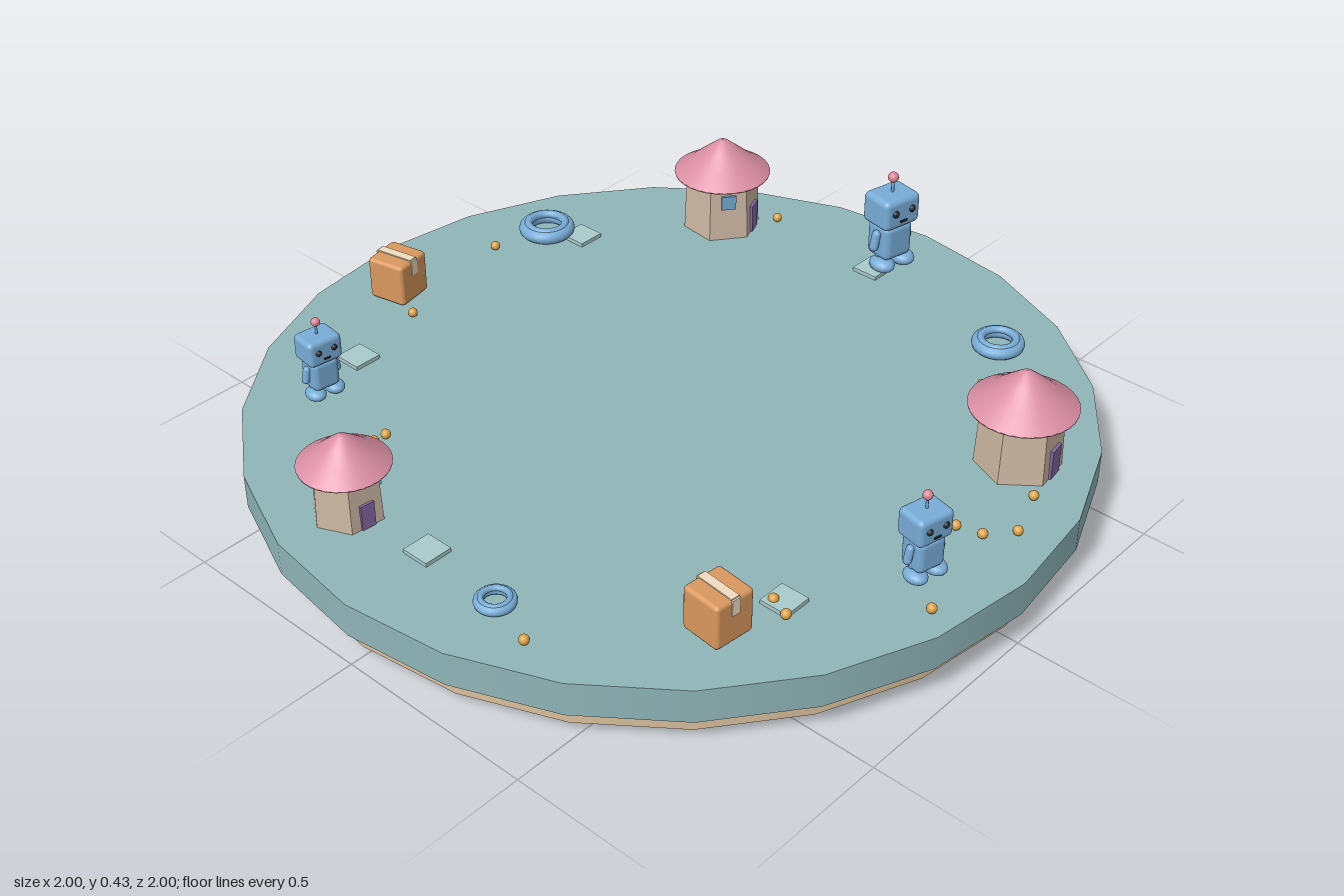
import * as THREE from 'three';
import { RoundedBoxGeometry } from 'three/addons/geometries/RoundedBoxGeometry.js';

const GROUND = 0.165;
const mat = (color, extra = {}) => new THREE.MeshStandardMaterial({ color, ...extra });
const M = {
  teal: mat(0x8fb5b8), sand: mat(0xd9c09c), underside: mat(0xc9b09c),
  plate: mat(0xa9cccb), wall: mat(0xcdb8a3, { flatShading: true }),
  roof: mat(0xda8ea3), door: mat(0x8468a0), glass: mat(0x6fa6cc),
  blue: mat(0x78acd6), pink: mat(0xe08596), dark: mat(0x20262e),
  gold: mat(0xdfa448), crate: mat(0xda985e), tape: mat(0xf0dcc0),
};

function add(parent, name, geometry, material, x = 0, y = 0, z = 0) {
  const mesh = new THREE.Mesh(geometry, material);
  mesh.name = name;
  mesh.position.set(x, y, z);
  parent.add(mesh);
  return mesh;
}

// Empty group standing on the ground
function place(parent, name, x, z, turn = 0, scale = 1) {
  const g = new THREE.Group();
  g.name = name;
  g.position.set(x, GROUND, z);
  g.rotation.y = turn;
  g.scale.setScalar(scale);
  parent.add(g);
  return g;
}

// Three stacked discs
function buildIsland(root) {
  const disc = (name, r, y0, y1, m) =>
    add(root, name, new THREE.CylinderGeometry(r, r, y1 - y0, 24), m, 0, (y0 + y1) / 2, 0);
  disc('islandTop', 1, 0.08, GROUND, M.teal);
  disc('islandMiddle', 0.965, 0.027, 0.08, M.sand);
  disc('islandFoot', 0.92, 0, 0.027, M.underside);
}

// Six-sided hut with a softly domed, flared roof; the door faces local +z
function buildHouse(root, x, z, turn, scale, windowSide) {
  const g = place(root, 'house', x, z, turn, scale);
  const walls = new THREE.CylinderGeometry(0.094, 0.1, 0.165, 6);
  walls.rotateY(Math.PI / 6);
  add(g, 'walls', walls, M.wall, 0, 0.0825, 0);
  const profile = [[0, 0.155], [0.124, 0.155], [0.125, 0.16], [0.085, 0.186], [0.04, 0.224], [0.014, 0.245], [0, 0.249]]
    .map(([r, y]) => new THREE.Vector2(r, y));
  add(g, 'roof', new THREE.LatheGeometry(profile, 32), M.roof);
  add(g, 'door', new THREE.BoxGeometry(0.042, 0.075, 0.014), M.door, 0, 0.0385, 0.085);
  const pivot = new THREE.Group();
  pivot.name = 'windowMount';
  pivot.rotation.y = windowSide * Math.PI / 3;
  g.add(pivot);
  add(pivot, 'window', new THREE.BoxGeometry(0.038, 0.038, 0.014), M.glass, 0, 0.108, 0.082);
}

// Small robot facing local +z
function buildRobot(root, x, z, turn, scale) {
  const g = place(root, 'robot', x, z, turn, scale);
  add(g, 'body', new RoundedBoxGeometry(0.09, 0.1, 0.08, 3, 0.018), M.blue, 0, 0.085, 0);
  add(g, 'head', new RoundedBoxGeometry(0.115, 0.085, 0.095, 3, 0.016), M.blue, 0, 0.172, 0);
  add(g, 'antenna', new THREE.CylinderGeometry(0.004, 0.004, 0.045, 8), M.blue, 0, 0.232, 0);
  add(g, 'antennaTip', new THREE.SphereGeometry(0.014, 16, 12), M.pink, 0, 0.255, 0);
  add(g, 'mouth', new THREE.BoxGeometry(0.022, 0.005, 0.006), M.dark, 0, 0.152, 0.048);
  for (const s of [-1, 1]) {
    add(g, 'eye', new THREE.SphereGeometry(0.01, 12, 10), M.dark, s * 0.027, 0.178, 0.046);
    const arm = add(g, 'arm', new THREE.CapsuleGeometry(0.012, 0.035, 4, 10), M.blue, s * 0.052, 0.09, 0.004);
    arm.rotation.z = s * 0.2;
    add(g, 'leg', new THREE.CylinderGeometry(0.015, 0.015, 0.04, 12), M.blue, s * 0.027, 0.025, 0);
    add(g, 'foot', new THREE.SphereGeometry(0.03, 16, 12), M.blue, s * 0.033, 0.02, 0.014).scale.set(1, 0.66, 1.25);
  }
}

// Parcel with a strip of tape over its top and ends
function buildCrate(root, x, z, turn) {
  const g = place(root, 'crate', x, z, turn);
  add(g, 'box', new RoundedBoxGeometry(0.104, 0.112, 0.104, 2, 0.01), M.crate, 0, 0.058, 0);
  add(g, 'tape', new THREE.BoxGeometry(0.022, 0.004, 0.1), M.tape, 0, 0.115, 0);
  for (const s of [-1, 1])
    add(g, 'tapeEnd', new THREE.BoxGeometry(0.022, 0.04, 0.004), M.tape, 0, 0.094, s * 0.052);
}

// Two stacked tubes lying flat
function buildRing(root, x, z, radius) {
  const g = place(root, 'ring', x, z, 0, radius);
  const lower = new THREE.TorusGeometry(0.76, 0.24, 12, 32).rotateX(Math.PI / 2);
  const upper = new THREE.TorusGeometry(0.66, 0.15, 10, 32).rotateX(Math.PI / 2);
  add(g, 'lowerTube', lower, M.blue, 0, 0.24, 0);
  add(g, 'upperTube', upper, M.blue, 0, 0.4, 0);
}

export function createModel() {
  const root = new THREE.Group();
  root.name = 'villageIsland';
  buildIsland(root);

  buildHouse(root, 0.34, 0.745, 0.15, 1, 1);
  buildHouse(root, 0.69, -0.445, 0.4, 1, -1);
  buildHouse(root, -0.79, -0.23, -0.1, 0.84, 1);

  buildRobot(root, 0.82, 0.01, -0.2, 1);
  buildRobot(root, -0.12, 0.82, -0.22, 0.82);
  buildRobot(root, -0.535, -0.62, -0.12, 0.78);

  buildCrate(root, -0.12, -0.815, 0.2);
  buildCrate(root, -0.54, 0.62, -0.1);

  buildRing(root, 0.34, -0.75, 0.073);
  buildRing(root, 0.69, 0.445, 0.065);
  buildRing(root, -0.79, 0.23, 0.047);

  // Six paving plates on a circle
  for (let i = 0; i < 6; i++) {
    const a = i * Math.PI / 3;
    add(root, 'plate', new THREE.BoxGeometry(0.072, 0.01, 0.072), M.plate,
      0.77 * Math.cos(a), GROUND + 0.005, 0.77 * Math.sin(a));
  }

  // Scattered beads
  const beads = [
    [0.015, -0.91], [0.19, -0.79], [-0.42, -0.74], [-0.17, -0.71], [-0.59, -0.375], [-0.555, -0.375],
    [0.795, -0.34], [0.525, 0.515], [-0.835, 0.36], [-0.4, 0.65], [-0.42, 0.7], [-0.205, 0.91],
    [0.07, 0.69], [0.05, 0.785], [0.065, 0.845], [0.125, 0.895], [0.25, 0.85], [0.41, 0.64],
  ];
  const bead = new THREE.SphereGeometry(0.012, 12, 10);
  for (const [x, z] of beads) add(root, 'bead', bead, M.gold, x, GROUND + 0.011, z);

  return root;
}
